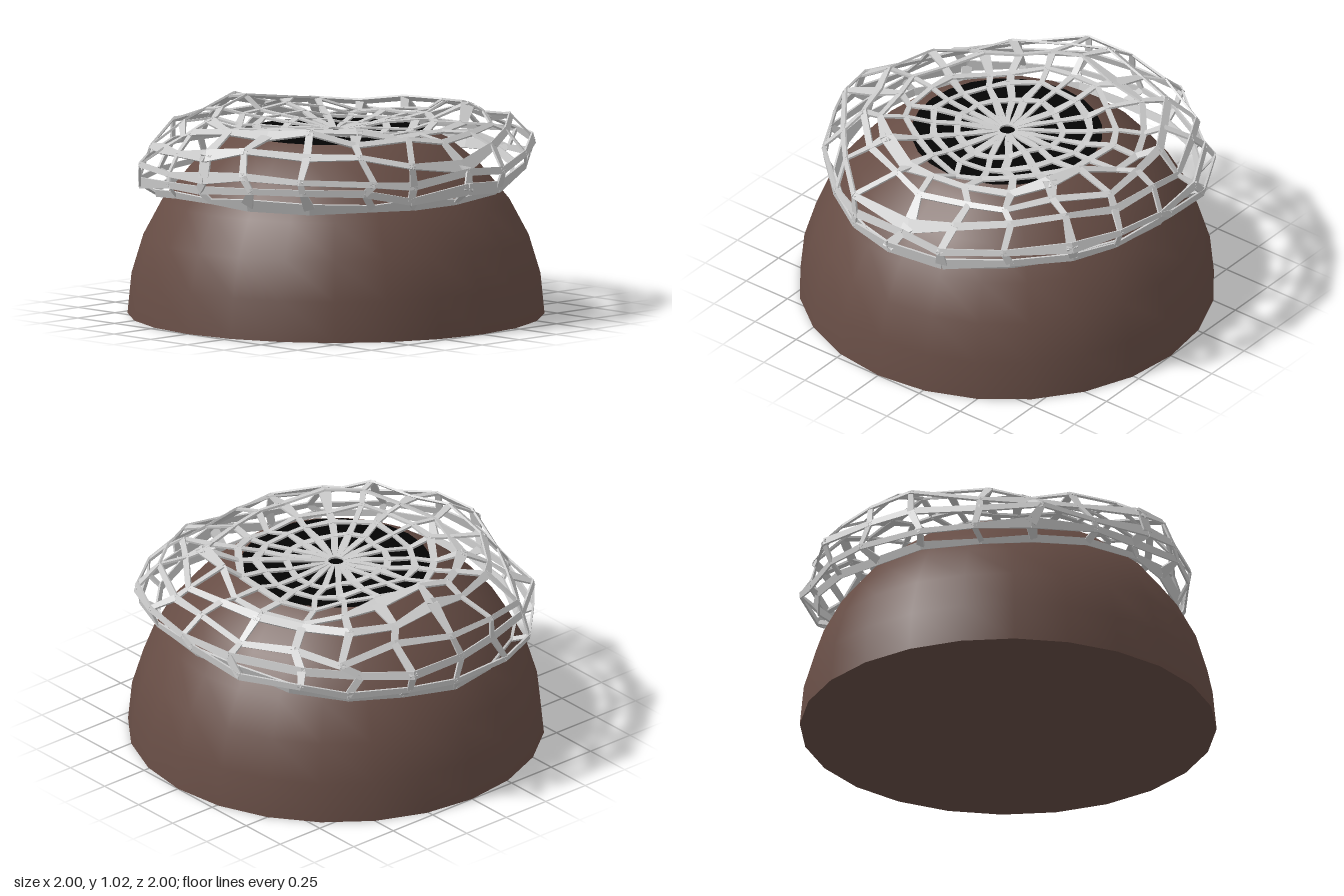
import * as THREE from 'three';
import { mergeGeometries } from 'three/addons/utils/BufferGeometryUtils.js';

const SPOKES = 20;

function seeded(seed) {
  return () => {
    seed = (seed * 16807) % 2147483647;
    return seed / 2147483647;
  };
}

// Flat tapered bar from a to b, its broad face turned along "normal"
function strut(a, b, normal, widthA, widthB) {
  const along = new THREE.Vector3().subVectors(b, a);
  const length = along.length();
  along.normalize();
  const side = new THREE.Vector3().crossVectors(along, normal).normalize();
  const up = new THREE.Vector3().crossVectors(side, along);
  const geo = new THREE.BoxGeometry(1, length, 0.01);
  const pos = geo.attributes.position;
  for (let i = 0; i < pos.count; i++) {
    pos.setX(i, pos.getX(i) * (pos.getY(i) < 0 ? widthA : widthB));
  }
  const mid = new THREE.Vector3().addVectors(a, b).multiplyScalar(0.5);
  geo.applyMatrix4(new THREE.Matrix4().makeBasis(side, along, up).setPosition(mid));
  return geo;
}

function createNet(material) {
  const rand = seeded(4711);
  const jitter = (s) => (rand() - 0.5) * 2 * s;
  // Radius, height and unevenness of each ring, from hub to hem
  const rings = [
    [0.045, 0.89, 0], [0.12, 0.895, 0.004], [0.25, 0.9, 0.01],
    [0.38, 0.905, 0.018], [0.49, 0.92, 0.025], [0.61, 0.945, 0.035],
    [0.74, 0.925, 0.04], [0.87, 0.85, 0.045], [0.93, 0.77, 0.035],
    [0.93, 0.69, 0.03], [0.87, 0.645, 0.018],
  ];
  const nodes = rings.map(([r, y, wobble], k) =>
    Array.from({ length: SPOKES }, (_, i) => {
      const angle = (i / SPOKES) * Math.PI * 2 + jitter(0.06);
      const radius = r + jitter(wobble);
      const shift = 0.035 * r;
      // The crown of the net has three swells, the hem dips and tilts
      const hem = Math.max(0, (k - 5) / 5);
      const swell = -wobble * (1 - hem) * Math.cos(angle * 3);
      const tilt = hem * (0.025 * Math.cos(angle) + 0.05 * Math.sin(angle) - 0.035 * Math.cos(angle * 2));
      const p = new THREE.Vector3(
        Math.sin(angle) * radius + shift,
        y + swell + tilt + jitter(wobble * 0.8),
        Math.cos(angle) * radius - shift);
      // Outward direction of the rolled rim at this ring
      const lean = k < 5 ? 0 : Math.min(1.9, (k - 4) * 0.33);
      const normal = new THREE.Vector3(
        Math.sin(angle) * Math.sin(lean), Math.cos(lean), Math.cos(angle) * Math.sin(lean));
      // A few knots spread into wide webbing
      const spread = k > 4 && rand() < 0.15 ? 0.03 : 0;
      const width = k === 0 ? 0.014 : 0.024 + rand() * 0.018 + spread;
      return { p, normal, width };
    }));

  const parts = [];
  const join = (m, n) => parts.push(strut(m.p, n.p, m.normal.clone().add(n.normal), m.width, n.width));
  for (let k = 0; k < rings.length; k++) {
    for (let i = 0; i < SPOKES; i++) {
      if (k !== 1) join(nodes[k][i], nodes[k][(i + 1) % SPOKES]);
      if (k + 1 < rings.length) join(nodes[k][i], nodes[k + 1][i]);
    }
  }
  const net = new THREE.Mesh(mergeGeometries(parts), material);
  net.name = 'net';
  return net;
}

export function createModel() {
  const model = new THREE.Group();
  model.name = 'nettedDome';

  const brown = new THREE.MeshStandardMaterial({ color: 0x674d45 });
  const black = new THREE.MeshStandardMaterial({ color: 0x030303 });
  const grey = new THREE.MeshStandardMaterial({ color: 0xcccccc, flatShading: true });

  // Dome with its crown cut off
  const profile = [];
  for (let i = 0; i <= 5; i++) {
    const a = (i / 8) * Math.PI / 2;
    profile.push(new THREE.Vector2(Math.cos(a), Math.sin(a)));
  }
  profile.push(new THREE.Vector2(0.46, 0.88));
  const dome = new THREE.Mesh(new THREE.LatheGeometry(profile, 24), brown);
  dome.name = 'dome';

  // Flat underside
  const base = new THREE.Mesh(new THREE.CircleGeometry(1, 24).rotateX(Math.PI / 2), brown);
  base.name = 'base';

  // Dark disc closing the crown
  const crown = new THREE.Mesh(new THREE.CircleGeometry(0.46, 24).rotateX(-Math.PI / 2), black);
  crown.position.y = 0.88;
  crown.name = 'crown';

  model.add(dome, base, crown, createNet(grey));
  return model;
}
